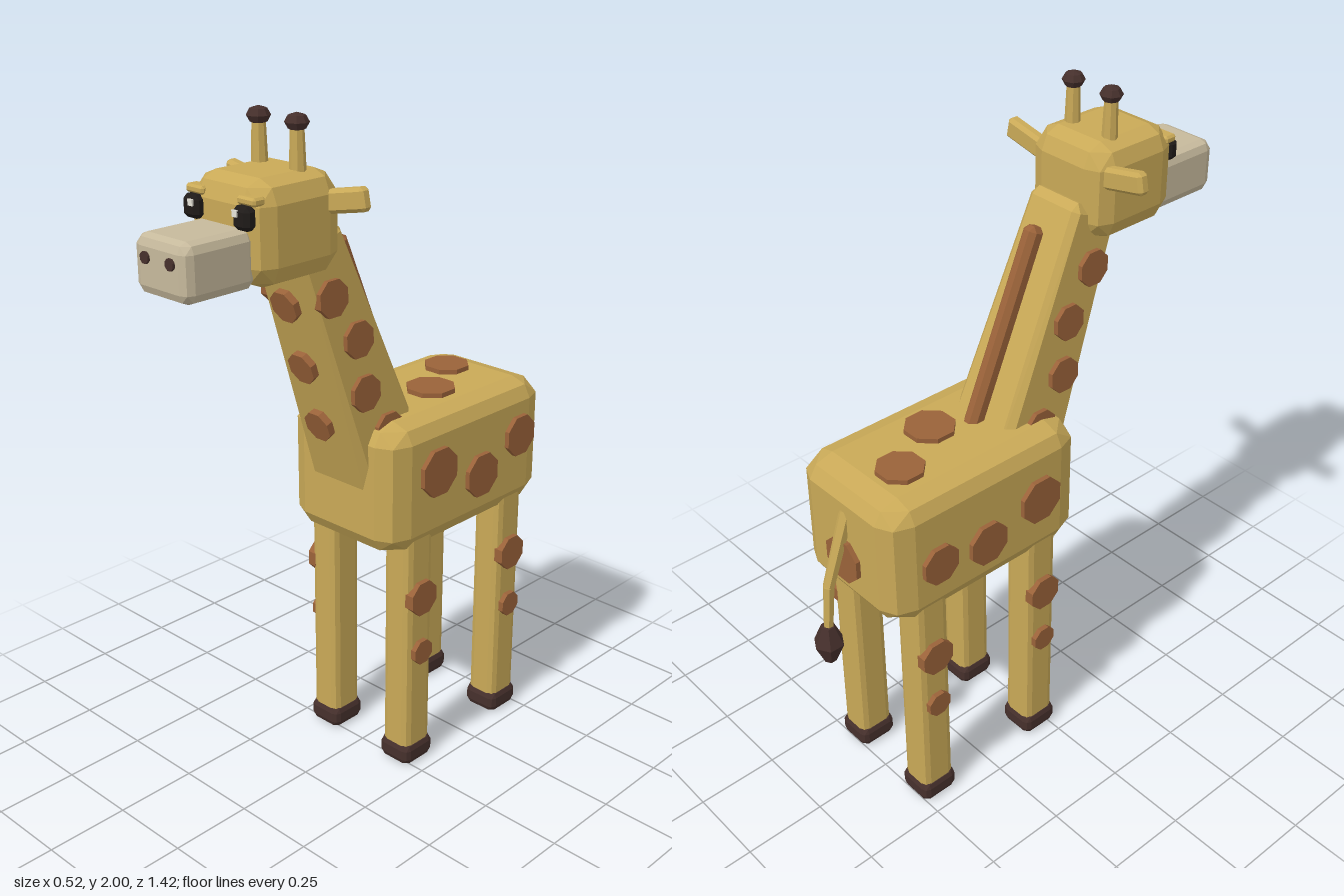
import * as THREE from 'three';
import { ConvexGeometry } from 'three/addons/geometries/ConvexGeometry.js';

const V = (x, y, z) => new THREE.Vector3(x, y, z);

function material(name, color) {
  const m = new THREE.MeshStandardMaterial({ color });
  m.name = name;
  return m;
}

// Box with bevelled edges; bevel is a number or one value per axis.
function bevelBox(w, h, d, bevel, steps = 1) {
  const b = Array.isArray(bevel) ? bevel : [bevel, bevel, bevel];
  const points = [];
  for (const sx of [-1, 1]) for (const sy of [-1, 1]) for (const sz of [-1, 1]) {
    for (let i = 0; i <= steps; i++) for (let j = 0; j <= steps - i; j++) {
      const n = V(i, j, steps - i - j).normalize();
      points.push(V(
        sx * (w / 2 - b[0] + n.x * b[0]),
        sy * (h / 2 - b[1] + n.y * b[1]),
        sz * (d / 2 - b[2] + n.z * b[2])));
    }
  }
  return new ConvexGeometry(points);
}

// Facet every face.
function faceted(geometry) {
  const g = geometry.index ? geometry.toNonIndexed() : geometry;
  g.computeVertexNormals();
  return g;
}

export function createModel() {
  const root = new THREE.Group();
  root.name = 'giraffe';

  const hide = material('golden hide', 0xc9a957);
  const patch = material('brown patch', 0x9a6239);
  const dark = material('dark brown', 0x46302c);
  const cream = material('cream muzzle', 0xc6b99c);
  const black = material('eye black', 0x1f1b19);
  const white = material('eye highlight', 0xf2efe4);

  function add(name, geometry, mat, x = 0, y = 0, z = 0) {
    const mesh = new THREE.Mesh(faceted(geometry), mat);
    mesh.name = name;
    mesh.position.set(x, y, z);
    root.add(mesh);
    return mesh;
  }

  // Octagonal disc centred on a surface and facing along its normal.
  function spot(name, x, y, z, r, normal, mat = patch, thick = 0.03) {
    const g = new THREE.CylinderGeometry(r, r, thick, 8);
    g.rotateY(Math.PI / 8);
    const mesh = add(name, g, mat, x, y, z);
    mesh.quaternion.setFromUnitVectors(V(0, 1, 0), normal.clone().normalize());
    return mesh;
  }

  // Tapered rod between two points.
  function rod(name, a, b, ra, rb, mat) {
    const g = new THREE.CylinderGeometry(rb, ra, a.distanceTo(b), 6);
    const mesh = add(name, g, mat);
    mesh.position.copy(a).lerp(b, 0.5);
    mesh.quaternion.setFromUnitVectors(V(0, 1, 0), b.clone().sub(a).normalize());
  }

  // Body
  add('body', bevelBox(0.42, 0.395, 0.685, [0.07, 0.055, 0.08], 2), hide, 0, 0.92, -0.243);

  // Neck, tapering towards the head
  const neckLength = 0.89, lean = Math.atan2(0.32, 0.83);
  const neckGeometry = bevelBox(0.25, neckLength, 0.27, 0.025);
  const p = neckGeometry.attributes.position;
  for (let i = 0; i < p.count; i++) {
    const t = p.getY(i) / neckLength + 0.5;
    p.setX(i, p.getX(i) * (1 - 0.25 * t));
    p.setZ(i, p.getZ(i) * (1 - 0.38 * t));
  }
  add('neck', neckGeometry, hide, 0, 1.265, 0.095).rotation.x = lean;

  // Mane
  add('mane', bevelBox(0.05, 0.64, 0.055, 0.015), patch, 0, 1.345, -0.02).rotation.x = 0.405;

  // Head and muzzle
  add('head', bevelBox(0.28, 0.275, 0.3, 0.06, 2), hide, 0, 1.722, 0.353);
  add('muzzle', bevelBox(0.2, 0.155, 0.23, 0.028, 2), cream, 0, 1.667, 0.588);

  // Face, ears and horns
  for (const s of [-1, 1]) {
    spot('nostril', s * 0.047, 1.69, 0.7, 0.016, V(0, 0, 1), dark, 0.02);
    add('eye', bevelBox(0.058, 0.06, 0.04, 0.012), black, s * 0.093, 1.775, 0.508);
    add('eyeHighlight', new THREE.BoxGeometry(0.017, 0.017, 0.006), white, s * 0.082, 1.788, 0.529);
    add('brow', bevelBox(0.066, 0.022, 0.04, 0.006), hide, s * 0.095, 1.815, 0.487);
    add('ear', bevelBox(0.15, 0.062, 0.038, 0.01), hide, s * 0.182, 1.789, 0.25).rotation.z = s * 0.2;
    add('horn', new THREE.CylinderGeometry(0.018, 0.023, 0.14, 8), hide, s * 0.07, 1.9, 0.306);
    add('hornTip', new THREE.SphereGeometry(0.032, 8, 4), dark, s * 0.07, 1.976, 0.306).scale.y = 0.75;
  }

  // Legs with hooves and outer spots
  for (const s of [-1, 1]) for (const [name, z] of [['front', -0.037], ['rear', -0.447]]) {
    add(name + 'Leg', bevelBox(0.1, 0.76, 0.11, 0.022, 2), hide, s * 0.15, 0.41, z);
    add(name + 'Hoof', bevelBox(0.115, 0.07, 0.122, 0.02, 2), dark, s * 0.15, 0.035, z);
    spot('legSpot', s * 0.201, 0.567, z, 0.056, V(s, 0, 0));
    spot('legSpot', s * 0.201, 0.386, z, 0.04, V(s, 0, 0));
  }

  // Body spots: side sign, y, z, radius
  for (const [s, y, z, r] of [
    [1, 0.955, -0.088, 0.076], [1, 0.886, -0.28, 0.07], [1, 0.96, -0.455, 0.066],
    [-1, 0.93, -0.065, 0.074], [-1, 0.88, -0.26, 0.068], [-1, 0.9, -0.43, 0.062],
  ]) spot('bodySpot', s * 0.21, y, z, r, V(s, 0, 0));
  spot('backSpot', -0.05, 1.117, -0.423, 0.07, V(0, 1, 0));
  spot('backSpot', 0.045, 1.117, -0.242, 0.075, V(0, 1, 0));
  spot('rumpSpot', 0, 0.875, -0.585, 0.072, V(0, 0, -1));

  // Neck spots on both sides and down the front
  for (const [y, z] of [[1.513, 0.224], [1.38, 0.132], [1.222, 0.11], [1.09, 0.02]]) {
    for (const s of [-1, 1]) {
      const x = 0.125 - 0.032 * (y - 0.85) / 0.83;
      spot('neckSpot', s * x, y, z, 0.054, V(s, 0.036, 0.014));
    }
  }
  for (const [y, z] of [[1.487, 0.287], [1.3, 0.227], [1.115, 0.168]])
    spot('throatSpot', 0, y, z, 0.048, V(0, -0.32, 0.95));

  // Tail with a dark tuft
  const bend = V(0, 0.81, -0.648);
  rod('tailUpper', V(0, 1.03, -0.57), bend, 0.021, 0.017, hide);
  rod('tailLower', bend, V(0, 0.65, -0.662), 0.017, 0.014, hide);
  const tuft = [[0, 0.548], [0.018, 0.55], [0.045, 0.615], [0.02, 0.675], [0, 0.677]];
  add('tailTuft', new THREE.LatheGeometry(tuft.map(([x, y]) => new THREE.Vector2(x, y)), 6), dark, 0, 0, -0.663);

  return root;
}
